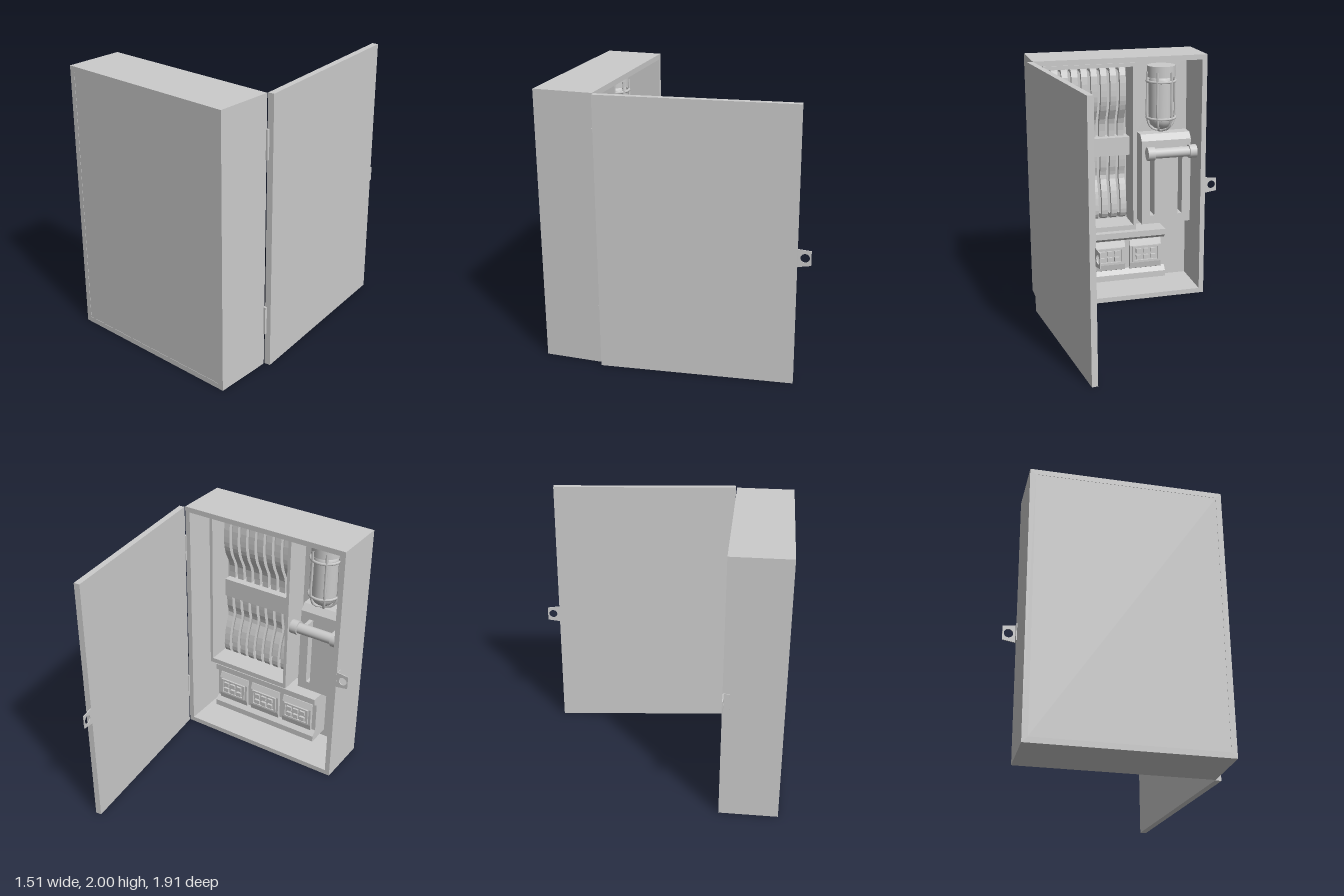
import * as THREE from 'three';

const mat = new THREE.MeshStandardMaterial({ color: 0xcccccc, flatShading: true });
const smooth = new THREE.MeshStandardMaterial({ color: 0xcccccc });
const OPEN = 0.52; // z of the cabinet opening; depths are measured inward from it

function add(parent, name, geo, x = 0, y = 0, z = 0, m = mat) {
  const mesh = new THREE.Mesh(geo, m);
  mesh.name = name;
  mesh.position.set(x, y, z);
  parent.add(mesh);
  return mesh;
}

// box given by its limits in x, y and depth
function block(parent, name, x0, x1, y0, y1, d0, d1) {
  return add(parent, name, new THREE.BoxGeometry(Math.abs(x1 - x0), y1 - y0, d1 - d0),
    (x0 + x1) / 2, (y0 + y1) / 2, OPEN + (d0 + d1) / 2);
}

// side profile of [depth, y] points, extruded from x0 towards -x
function profile(parent, name, pts, x0, width) {
  const shape = new THREE.Shape(pts.map(([d, y]) => new THREE.Vector2(d, y)));
  const geo = new THREE.ExtrudeGeometry(shape, { depth: width, bevelEnabled: false });
  geo.rotateY(-Math.PI / 2);
  return add(parent, name, geo, x0, 0, OPEN);
}

// tapered padlock plate in the xy plane, reaching towards -x
function hasp() {
  const s = new THREE.Shape();
  s.moveTo(0, 0.87).lineTo(0, 1.0).lineTo(-0.095, 0.99).lineTo(-0.095, 0.885).closePath();
  s.holes.push(new THREE.Path().absarc(-0.053, 0.937, 0.032, 0, Math.PI * 2, true));
  return new THREE.ExtrudeGeometry(s, { depth: 0.007, bevelEnabled: false, curveSegments: 12 });
}

// shell with open side towards -z
function buildCabinet(root) {
  const g = new THREE.Group();
  g.name = 'cabinet';
  root.add(g);
  const s = new THREE.Shape();
  s.moveTo(-0.665, 0).lineTo(0.71, 0).lineTo(0.71, 2).lineTo(-0.665, 2).closePath();
  const hole = new THREE.Path();
  hole.moveTo(-0.625, 0.04).lineTo(-0.625, 1.96).lineTo(0.67, 1.96).lineTo(0.67, 0.04).closePath();
  s.holes.push(hole);
  add(g, 'cabinetWalls', new THREE.ExtrudeGeometry(s, { depth: 0.43, bevelEnabled: false }), 0, 0, OPEN);
  block(g, 'cabinetBackPanel', -0.63, 0.675, 0.035, 1.965, 0.4, 0.428);
  add(g, 'cabinetHasp', hasp(), -0.665, 0, OPEN + 0.002);
  block(g, 'haspFlange', -0.671, -0.665, 0.87, 1.0, 0.002, 0.05);
  for (const y of [0.25, 1.55]) block(g, 'hinge', 0.705, 0.724, y, y + 0.21, -0.014, 0.008);
}

function buildDoor(root) {
  const door = new THREE.Group();
  door.name = 'door';
  door.position.set(0.71, 0, 0.512);
  door.rotation.y = 0.109;
  root.add(door);
  add(door, 'doorPanel', new THREE.BoxGeometry(0.045, 2, 1.383), 0.0225, 1, -0.6915);
  const plate = add(door, 'doorHasp', hasp(), 0.007, 0, -1.381);
  plate.rotation.y = -Math.PI / 2;
}

// open frame holding the curved bars
function buildBarFrame(root) {
  const g = new THREE.Group();
  g.name = 'barFrame';
  root.add(g);
  block(g, 'frameLeftWall', 0.58, 0.605, 0.55, 1.93, 0.17, 0.4);
  block(g, 'frameRightWall', -0.13, -0.105, 0.55, 1.93, 0.17, 0.4);
  block(g, 'frameFloor', -0.105, 0.58, 0.55, 0.59, 0.17, 0.4);
  block(g, 'frameTop', -0.105, 0.58, 1.9, 1.93, 0.17, 0.4);
  block(g, 'crossBar', -0.105, 0.53, 1.16, 1.31, 0.28, 0.4);
  const runs = [
    [[0.39, 1.87], [0.29, 1.85], [0.27, 1.68], [0.29, 1.56], [0.35, 1.43], [0.36, 1.25]],
    [[0.31, 1.25], [0.32, 1.08], [0.34, 0.98], [0.3, 0.86], [0.28, 0.72], [0.3, 0.65], [0.39, 0.63]],
  ];
  for (const run of runs) {
    const curve = new THREE.SplineCurve(run.map(([d, y]) => new THREE.Vector2(d, y)));
    const front = [], back = [];
    for (let i = 0; i <= 16; i++) {
      const p = curve.getPoint(i / 16), t = curve.getTangent(i / 16);
      front.push([p.x - t.y * 0.018, p.y + t.x * 0.018]);
      back.unshift([p.x + t.y * 0.018, p.y - t.x * 0.018]);
    }
    for (let i = 0; i < 8; i++) profile(g, 'curvedBar', [...front, ...back], 0.525 - i * 0.078, 0.05);
  }
}

// low housing with three breaker modules
function buildBreakers(root) {
  const g = new THREE.Group();
  g.name = 'breakerHousing';
  root.add(g);
  profile(g, 'housing', [[0.4, 0.1], [0.2, 0.1], [0.2, 0.15], [0.24, 0.19], [0.24, 0.44],
    [0.2, 0.47], [0.2, 0.52], [0.4, 0.52]], 0.57, 0.96);
  for (let i = 0; i < 3; i++) {
    const x = 0.4 - i * 0.31;
    profile(g, 'breakerBody', [[0.24, 0.18], [0.22, 0.19], [0.21, 0.24], [0.21, 0.39],
      [0.23, 0.44], [0.24, 0.44]], x + 0.135, 0.27);
    // raised window rim
    block(g, 'windowRimTop', x - 0.115, x + 0.115, 0.375, 0.39, 0.195, 0.215);
    block(g, 'windowRimBottom', x - 0.115, x + 0.115, 0.25, 0.265, 0.195, 0.215);
    for (const s of [-1, 1]) block(g, 'windowRimSide', x + s * 0.1, x + s * 0.115, 0.265, 0.375, 0.195, 0.215);
    for (let c = -1; c <= 1; c++) {
      for (const y of [0.275, 0.33]) block(g, 'breakerSwitch', x + c * 0.062 - 0.022, x + c * 0.062 + 0.022, y, y + 0.035, 0.19, 0.215);
    }
  }
}

// slotted housing with a two-armed lever
function buildLever(root) {
  const g = new THREE.Group();
  g.name = 'leverUnit';
  root.add(g);
  const slots = [-0.29, -0.53];
  const s = new THREE.Shape();
  s.moveTo(-0.62, 0.56).lineTo(-0.2, 0.56).lineTo(-0.2, 1.27).lineTo(-0.62, 1.27).closePath();
  for (const x of slots) {
    const h = new THREE.Path();
    h.moveTo(x - 0.018, 0.63).lineTo(x - 0.018, 1.21).lineTo(x + 0.018, 1.21).lineTo(x + 0.018, 0.63).closePath();
    s.holes.push(h);
  }
  add(g, 'slottedHousing', new THREE.ExtrudeGeometry(s, { depth: 0.15, bevelEnabled: false }), 0, 0, OPEN + 0.25);
  profile(g, 'housingTop', [[0.25, 1.27], [0.29, 1.32], [0.4, 1.32], [0.4, 1.27]], -0.2, 0.42);
  for (const x of slots) block(g, 'leverArm', x - 0.015, x + 0.015, 1.18, 1.21, 0.1, 0.39);
  const rod = (name, r, len, x) =>
    add(g, name, new THREE.CylinderGeometry(r, r, len, 20).rotateZ(Math.PI / 2), x, 1.2, OPEN + 0.11, smooth);
  rod('leverGrip', 0.042, 0.38, -0.41);
  for (const x of [-0.235, -0.585]) rod('leverEnd', 0.055, 0.06, x);
}

// caged glass capsule
function buildLamp(root) {
  const g = new THREE.Group();
  g.name = 'cagedLamp';
  g.position.set(-0.37, 0, OPEN + 0.28);
  root.add(g);
  add(g, 'lampCapsule', new THREE.CapsuleGeometry(0.1, 0.28, 8, 20), 0, 1.6, 0, smooth);
  add(g, 'lampCap', new THREE.CylinderGeometry(0.115, 0.115, 0.09, 20), 0, 1.84, 0, smooth);
  add(g, 'lampMount', new THREE.BoxGeometry(0.12, 0.5, 0.06), 0, 1.62, 0.1);
  for (const y of [1.46, 1.76]) add(g, 'cageRing', new THREE.TorusGeometry(0.117, 0.011, 6, 24).rotateX(Math.PI / 2), 0, y, 0, smooth);
  for (let i = 0; i < 6; i++) {
    const a = i * Math.PI / 3, c = Math.cos(a), s = Math.sin(a);
    const pts = [[0.117, 1.84], [0.117, 1.65], [0.117, 1.47], [0.085, 1.38], [0, 1.345]];
    const path = new THREE.CatmullRomCurve3(pts.map(([r, y]) => new THREE.Vector3(r * c, y, r * s)));
    add(g, 'cageWire', new THREE.TubeGeometry(path, 16, 0.01, 6), 0, 0, 0, smooth);
  }
}

export function createModel() {
  const root = new THREE.Group();
  root.name = 'electricalCabinet';
  for (const build of [buildCabinet, buildDoor, buildBarFrame, buildBreakers, buildLever, buildLamp]) build(root);
  return root;
}
